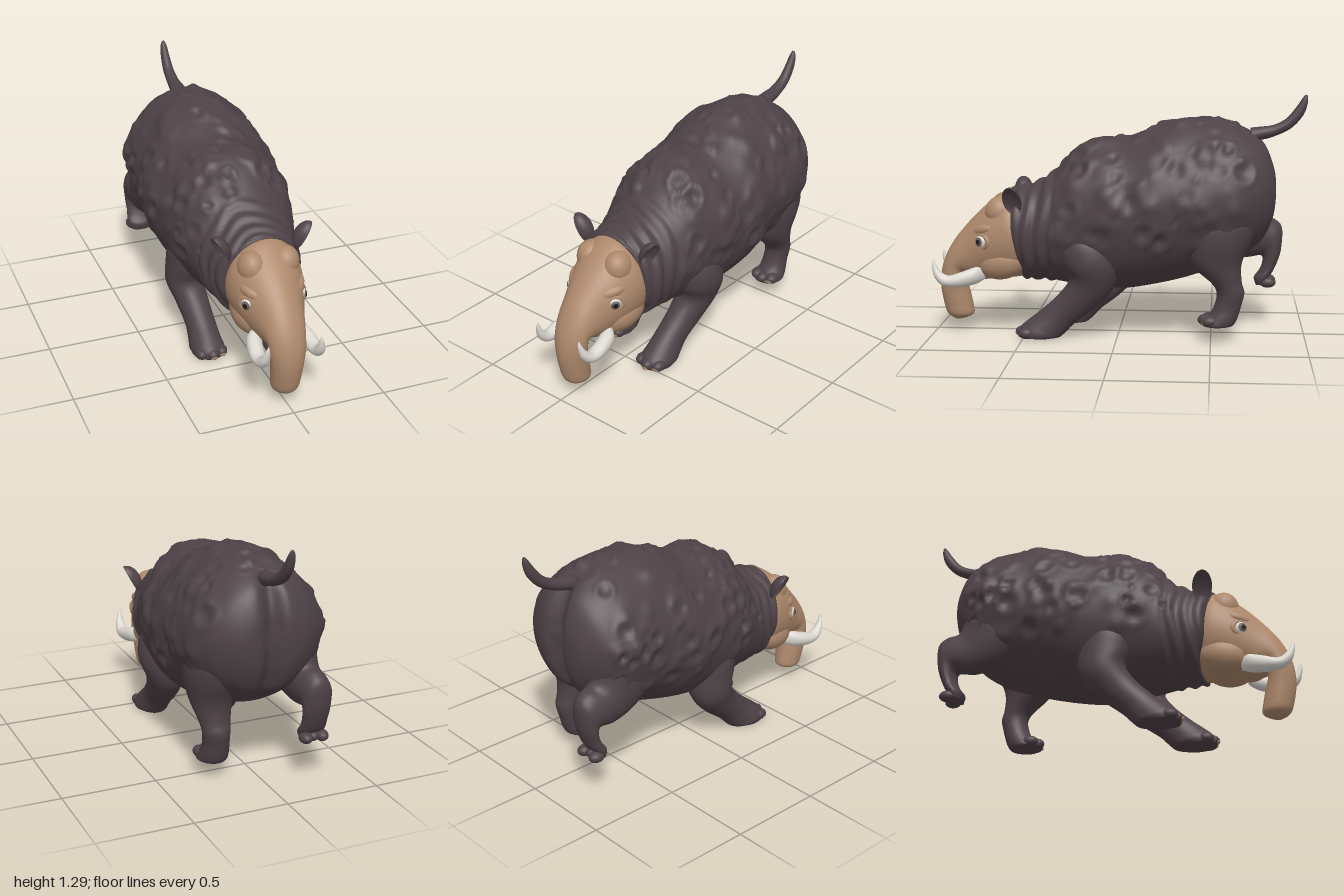
import * as THREE from 'three';

const mat = (name, color) => Object.assign(new THREE.MeshStandardMaterial({ color }), { name });

// Uniform Catmull-Rom interpolation of one value
function spline(p0, p1, p2, p3, t) {
  const a = (p2 - p0) / 2, b = (p3 - p1) / 2;
  return (2 * p1 - 2 * p2 + a + b) * t ** 3 + (3 * p2 - 3 * p1 - 2 * a - b) * t * t + a * t + p1;
}

// Closed smooth skin through oval rings: [edgeA z, y, edgeB z, y, half width, centre x]
function loft(rings, sides = 28, steps = 5) {
  const pos = [], idx = [], n = rings.length, rows = (n - 1) * steps + 1;
  const put = (r, c, s) => pos.push(r[5] + r[4] * c,
    (r[1] + r[3]) / 2 + (r[1] - r[3]) / 2 * s, (r[0] + r[2]) / 2 + (r[0] - r[2]) / 2 * s);
  let first, last;
  for (let k = 0; k < rows; k++) {
    const i = Math.min(Math.floor(k / steps), n - 2), t = k / steps - i;
    const at = (j) => rings[Math.max(0, Math.min(n - 1, j))];
    const r = [0, 1, 2, 3, 4, 5].map((c) =>
      spline(at(i - 1)[c] ?? 0, at(i)[c] ?? 0, at(i + 1)[c] ?? 0, at(i + 2)[c] ?? 0, t));
    first ??= r;
    last = r;
    for (let j = 0; j < sides; j++) put(r, Math.cos(j / sides * 2 * Math.PI), Math.sin(j / sides * 2 * Math.PI));
  }
  put(first, 0, 0);
  put(last, 0, 0);
  for (let j = 0; j < sides; j++) {
    const m = (j + 1) % sides, e = (rows - 1) * sides;
    for (let k = 0; k < rows - 1; k++) {
      const a = k * sides + j, b = k * sides + m;
      idx.push(a, b, b + sides, a, b + sides, a + sides);
    }
    idx.push(rows * sides, m, j, rows * sides + 1, e + j, e + m);
  }
  // Turn the faces outward if the enclosed volume is negative
  let volume = 0;
  const v = (i) => new THREE.Vector3().fromArray(pos, i * 3);
  for (let i = 0; i < idx.length; i += 3) volume += v(idx[i]).dot(v(idx[i + 1]).cross(v(idx[i + 2])));
  if (volume < 0) idx.reverse();
  const g = new THREE.BufferGeometry();
  g.setAttribute('position', new THREE.Float32BufferAttribute(pos, 3));
  g.setIndex(idx);
  g.computeVertexNormals();
  return g;
}

// Seeded random numbers
function random(seed) {
  return () => {
    seed = (seed + 0x6d2b79f5) | 0;
    let t = Math.imul(seed ^ (seed >>> 15), 1 | seed);
    t = (t + Math.imul(t ^ (t >>> 7), 61 | t)) ^ t;
    return ((t ^ (t >>> 14)) >>> 0) / 4294967296;
  };
}

// Knobs, craters, neck folds, tapered back and rear cleft pressed into the hide
function roughen(g) {
  const rnd = random(11);
  const p = g.attributes.position, nrm = g.attributes.normal.clone();
  const spots = [];
  while (spots.length < 170) {
    const c = new THREE.Vector3().fromBufferAttribute(p, Math.floor(rnd() * p.count));
    if (c.y > 0.52 && c.z < 0.36 && c.z > -0.7)
      spots.push({ c, r: 0.022 + rnd() * 0.035, h: 0.007 + rnd() * 0.012, pit: rnd() < 0.4 });
  }
  const v = new THREE.Vector3(), q = new THREE.Vector3();
  for (let i = 0; i < p.count; i++) {
    v.fromBufferAttribute(p, i);
    let d = 0;
    for (const s of spots) {
      const k = v.distanceTo(s.c) / s.r;
      if (k < 3) d += s.pit ? s.h * (0.6 * Math.exp(-(((k - 1.1) / 0.4) ** 2)) - Math.exp(-k * k)) : s.h * Math.exp(-k * k);
    }
    d = Math.max(-0.02, Math.min(0.02, d));
    if (v.z > 0.34 && v.z < 0.57)
      d += 0.007 * Math.sin((v.z + v.y * 0.12) * 85 + Math.sin(v.x * 19 + v.y * 11) * 1.3);
    v.addScaledVector(q.fromBufferAttribute(nrm, i), d);
    v.x *= 1 - 0.35 * Math.max(0, v.y - 0.82);
    if (v.z < -0.6) v.z += 0.06 * Math.exp(-((v.x / 0.05) ** 2)) * Math.min(1, (-0.6 - v.z) / 0.2);
    p.setXYZ(i, v.x, v.y, v.z);
  }
  g.computeVertexNormals();
  return g;
}

export function createModel() {
  const hide = mat('dark hide', 0x4e4247), face = mat('tan face', 0xae896c);
  const ivory = mat('ivory', 0xdcd8d1), iris = mat('grey iris', 0x6a6260), black = mat('pupil', 0x1c1819);
  const model = new THREE.Group();
  model.name = 'tuskedBeast';
  const add = (name, geometry, material, parent = model) => {
    const m = new THREE.Mesh(geometry, material);
    m.name = name;
    parent.add(m);
    return m;
  };
  const ball = (name, material, at, size, parent) => {
    const m = add(name, new THREE.SphereGeometry(1, 24, 16), material, parent);
    m.position.set(...at);
    m.scale.set(...size);
    return m;
  };

  // Torso and neck
  add('body', roughen(loft([
    [.575, .74, .505, .34, .16], [.585, .785, .505, .295, .205], [.53, .80, .48, .29, .235],
    [.44, .825, .42, .29, .245], [.34, .89, .34, .285, .272], [.22, 1.01, .22, .265, .31],
    [.1, 1.06, .1, .25, .338], [-.05, 1.065, -.05, .25, .36], [-.2, 1.125, -.2, .275, .38],
    [-.35, 1.17, -.35, .31, .362], [-.5, 1.165, -.5, .36, .365], [-.62, 1.145, -.6, .40, .358],
    [-.73, 1.09, -.7, .46, .315], [-.79, 1.03, -.77, .52, .25], [-.83, .93, -.82, .62, .17],
    [-.84, .85, -.84, .72, .07],
  ], 120, 9)), hide);

  // Head running down into the trunk
  add('headAndTrunk', loft([
    [.57, .78, .50, .31, .195], [.62, .77, .55, .30, .2], [.70, .712, .63, .295, .185],
    [.77, .65, .70, .285, .158], [.84, .575, .76, .28, .13], [.90, .50, .81, .30, .112],
    [.945, .42, .835, .31, .10], [.972, .34, .835, .265, .095], [.98, .25, .82, .21, .085],
    [.967, .16, .805, .14, .078], [.945, .09, .80, .09, .068], [.90, .058, .83, .07, .035],
  ], 40, 6), face);

  // Upturned tail
  add('tail', loft([
    [-.70, 1.12, -.70, 1.02, .045], [-.75, 1.125, -.74, 1.05, .042], [-.82, 1.135, -.81, 1.068, .035],
    [-.885, 1.168, -.91, 1.115, .03], [-.935, 1.225, -.975, 1.185, .025],
    [-.973, 1.28, -.998, 1.25, .018], [-.988, 1.296, -.998, 1.29, .006],
  ], 20), hide);

  for (const s of [1, -1]) {
    const side = s > 0 ? 'left' : 'right';
    // Tusks, rooted in the cheeks
    add(side + 'Tusk', loft([
      [.72, .36, .72, .30, .02, s * .10], [.76, .37, .77, .275, .042, s * .125],
      [.84, .345, .86, .26, .041, s * .146], [.91, .325, .94, .27, .034, s * .15],
      [.955, .35, .985, .315, .025, s * .148], [.98, .39, 1, .38, .012, s * .143],
      [.99, .415, .995, .412, .003, s * .14],
    ], 20), ivory);

    // Cheek and temple swellings
    const cheek = ball(side + 'Cheek', face, [s * .097, .395, .625], [.085, .095, .14]);
    cheek.rotation.set(.2, -s * .15, 0);
    ball(side + 'Temple', face, [s * .09, .665, .635], [.073, .085, .08]);

    // Eyes with lids; local +z looks outward
    const eye = new THREE.Group();
    eye.name = side + 'Eye';
    eye.position.set(s * .132, .512, .72);
    eye.rotation.set(0, s * .95, 0);
    model.add(eye);
    ball('eyeball', ivory, [0, 0, 0], [.042, .042, .042], eye);
    for (const [name, m, r, a] of [['iris', iris, .0432, .6], ['pupil', black, .0442, .3]])
      add(name, new THREE.SphereGeometry(r, 20, 6, 0, Math.PI * 2, 0, a).rotateX(Math.PI / 2), m, eye);
    const lid = add('eyelid', new THREE.TorusGeometry(.042, .014, 10, 28), face, eye);
    lid.position.z = .014;
    lid.scale.set(1.1, .85, 1);
    const brow = ball('brow', face, [-s * .01, .058, -.016], [.08, .034, .044], eye);
    brow.rotation.z = s * .25;

    // Ears: a ball with its outer half pushed in to make a cup
    const cup = new THREE.SphereGeometry(1, 28, 20), p = cup.attributes.position;
    for (let i = 0; i < p.count; i++) if (p.getX(i) * s > 0) p.setX(i, p.getX(i) * -.55);
    cup.scale(.055, .085, .052).computeVertexNormals();
    const ear = add(side + 'Ear', cup, hide);
    ear.position.set(s * .228, .74, .55);
    ear.rotation.set(0, -s * .25, -s * .5);
  }

  // Foot details: three toes, some with a worn nail
  const toes = (name, x, y, z, w, nails) => {
    const g = new THREE.Group();
    g.name = name;
    model.add(g);
    for (const k of [-1, 0, 1]) {
      const dz = -.02 * Math.abs(k);
      ball('toe', hide, [x + k * w, y + .03, z - .035 + dz], [.034, .03, .045], g);
      if (nails.includes(k)) ball('nail', face, [x + k * w, y + .024, z - .001 + dz], [.018, .015, .012], g);
    }
  };

  // Front legs, the left one reaching further forward
  for (const [name, x, dz] of [['left', .168, 0], ['right', -.21, -.11]]) {
    const s = Math.sign(x);
    add(name + 'FrontLeg', loft([
      [.22, .58, .06, .57, .05, s * .235], [.285, .52, .01, .50, .1, s * .222],
      [.285, .42, -.01, .39, .118, s * .215], [.25, .33, .02, .27, .102, x + s * .025],
      [.31, .24, .11, .17, .087, x + s * .01], [.40, .155, .22, .085, .08, x],
      [.47, .10, .28, .025, .085, x], [.52, .055, .305, .005, .092, x], [.53, .012, .33, .003, .085, x],
    ].map((r) => [r[0] + dz, r[1], r[2] + dz, r[3], r[4], r[5]])), hide);
    toes(name + 'FrontToes', x, .002, .535 + dz, .055, [0, 1]);
  }

  // Left hind leg, pushing off
  add('leftHindLeg', loft([
    [-.44, .68, -.64, .71, .06, .25], [-.36, .61, -.72, .65, .115, .225], [-.36, .51, -.71, .55, .128, .213],
    [-.40, .41, -.66, .43, .108, .21], [-.50, .32, -.66, .33, .082, .21], [-.53, .26, -.675, .27, .072, .21],
    [-.51, .18, -.66, .20, .07, .205], [-.47, .13, -.64, .13, .078, .205],
    [-.44, .105, -.62, .095, .08, .205], [-.46, .09, -.6, .09, .07, .205],
  ]), hide);
  toes('leftHindToes', .205, .09, -.44, .05, [1]);

  // Right hind leg, lifted behind
  add('rightHindLeg', loft([
    [-.44, .66, -.66, .75, .06, -.24], [-.39, .58, -.74, .71, .11, -.22], [-.45, .48, -.77, .64, .12, -.207],
    [-.56, .41, -.79, .61, .10, -.22], [-.68, .38, -.84, .597, .088, -.23], [-.77, .39, -.885, .55, .08, -.235],
    [-.78, .35, -.885, .44, .074, -.235], [-.76, .30, -.865, .36, .07, -.235],
    [-.735, .265, -.83, .285, .075, -.235], [-.745, .225, -.79, .24, .06, -.235],
  ]), hide);
  toes('rightHindToes', -.235, .215, -.755, .045, []);

  return model;
}
